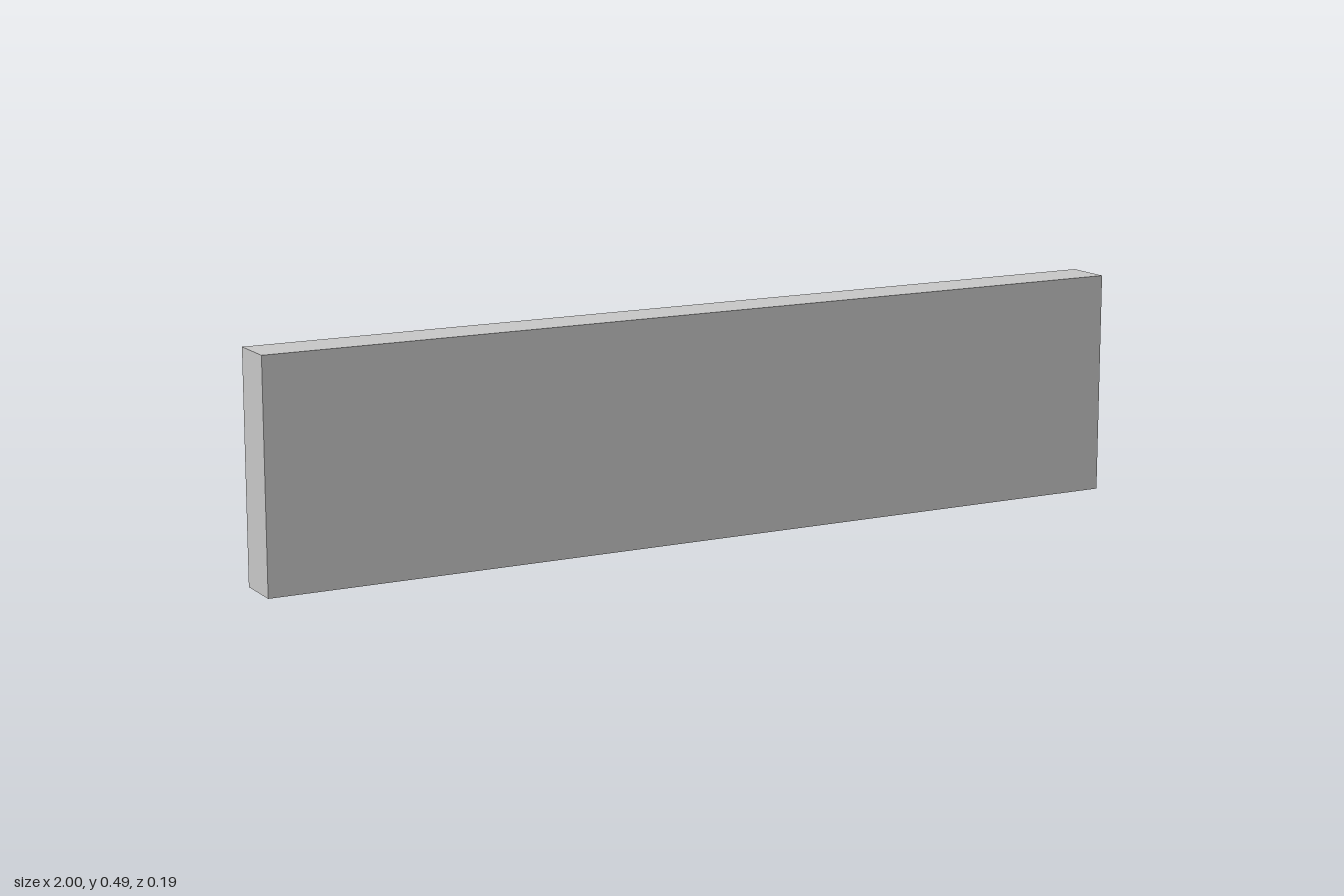
import * as THREE from 'three';

export function createModel() {
  const group = new THREE.Group();
  const grey = new THREE.MeshStandardMaterial({ color: 0xc8c8c8 });
  grey.name = 'lightGrey';

  // Slab given by its half width, height range and depth range
  function slab(name, halfWidth, y0, y1, z0, z1) {
    const mesh = new THREE.Mesh(new THREE.BoxGeometry(halfWidth * 2, y1 - y0, z1 - z0), grey);
    mesh.position.set(0, (y0 + y1) / 2, (z0 + z1) / 2);
    mesh.name = name;
    group.add(mesh);
  }

  slab('mainPanel', 1, 0, 0.488, -0.01, 0.094);
  slab('backStep', 0.962, 0.041, 0.447, -0.026, -0.01);
  // Separate plate floating behind the panel
  slab('backPlate', 0.927, 0.064, 0.423, -0.094, -0.068);

  return group;
}
